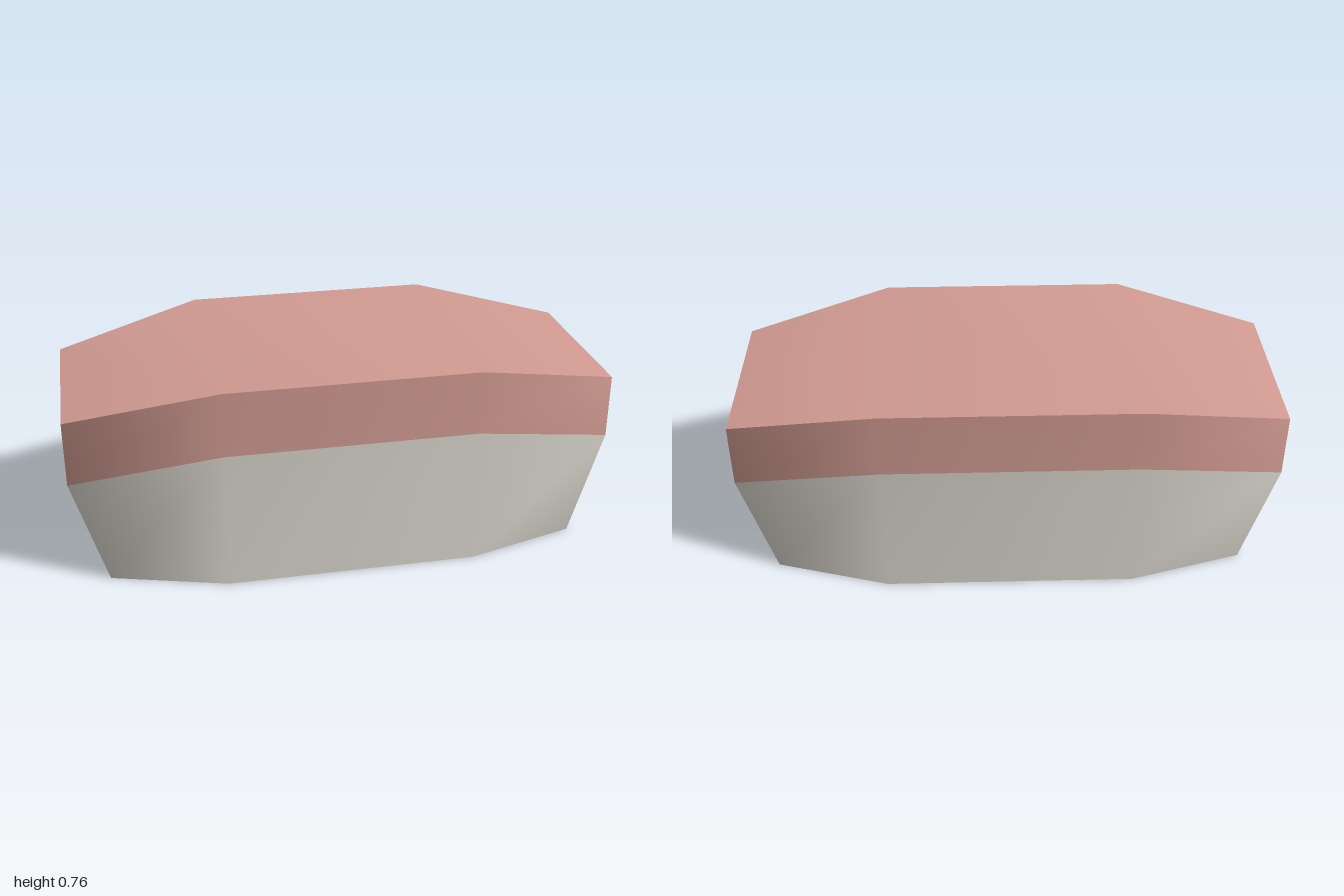
import * as THREE from 'three';

// Plan outline, counter-clockwise from above: [x, z]
const PLAN = [
  [1, 0.333], [1, -0.333], [0.46, -0.455], [-0.46, -0.455],
  [-1, -0.333], [-1, 0.333], [-0.46, 0.455], [0.46, 0.455],
];
const isEnd = (x) => Math.abs(x) > 0.9;

// Horizontal rings: foot, colour line and rim; the ends dip and the foot tapers in
const ring = (yMid, yEnd, endX) =>
  PLAN.map(([x, z]) => (isEnd(x) ? [x * endX, yEnd, z] : [x, yMid, z]));
const foot = ring(0, 0, 0.88);
const line = ring(0.52, 0.4, 1);
const rim = ring(0.76, 0.64, 1);

function build(points, index) {
  const g = new THREE.BufferGeometry();
  g.setAttribute('position', new THREE.Float32BufferAttribute(points.flat(), 3));
  g.setIndex(index);
  g.computeVertexNormals();
  return g;
}

// Three quads that fill one ring, facing up or down
function cap(points, up) {
  const index = [];
  for (const [a, b, c, d] of [[7, 0, 1, 2], [7, 2, 3, 6], [6, 3, 4, 5]]) {
    index.push(...(up ? [a, b, c, a, c, d] : [a, c, b, a, d, c]));
  }
  return build(points, index);
}

export function createModel() {
  const pink = new THREE.MeshStandardMaterial({ color: 0xd09a91 });
  pink.name = 'dusty pink';
  const grey = new THREE.MeshStandardMaterial({ color: 0xd6d2ca });
  grey.name = 'warm light grey';

  const model = new THREE.Group();
  model.name = 'taperedBlock';
  const add = (name, geometry, material) => {
    const mesh = new THREE.Mesh(geometry, material);
    mesh.name = name;
    model.add(mesh);
  };

  // Smooth wall: grey lower band, pink upper band
  const index = [];
  for (let level = 0; level < 2; level++) {
    for (let i = 0; i < 8; i++) {
      const a = level * 8 + i, b = level * 8 + ((i + 1) % 8);
      index.push(a, b, b + 8, a, b + 8, a + 8);
    }
  }
  const wall = build([...foot, ...line, ...rim], index);
  wall.addGroup(0, 48, 0);
  wall.addGroup(48, 48, 1);
  add('sideWall', wall, [grey, pink]);

  add('topCover', cap(rim, true), pink);
  add('underside', cap(foot, false), grey);
  return model;
}
